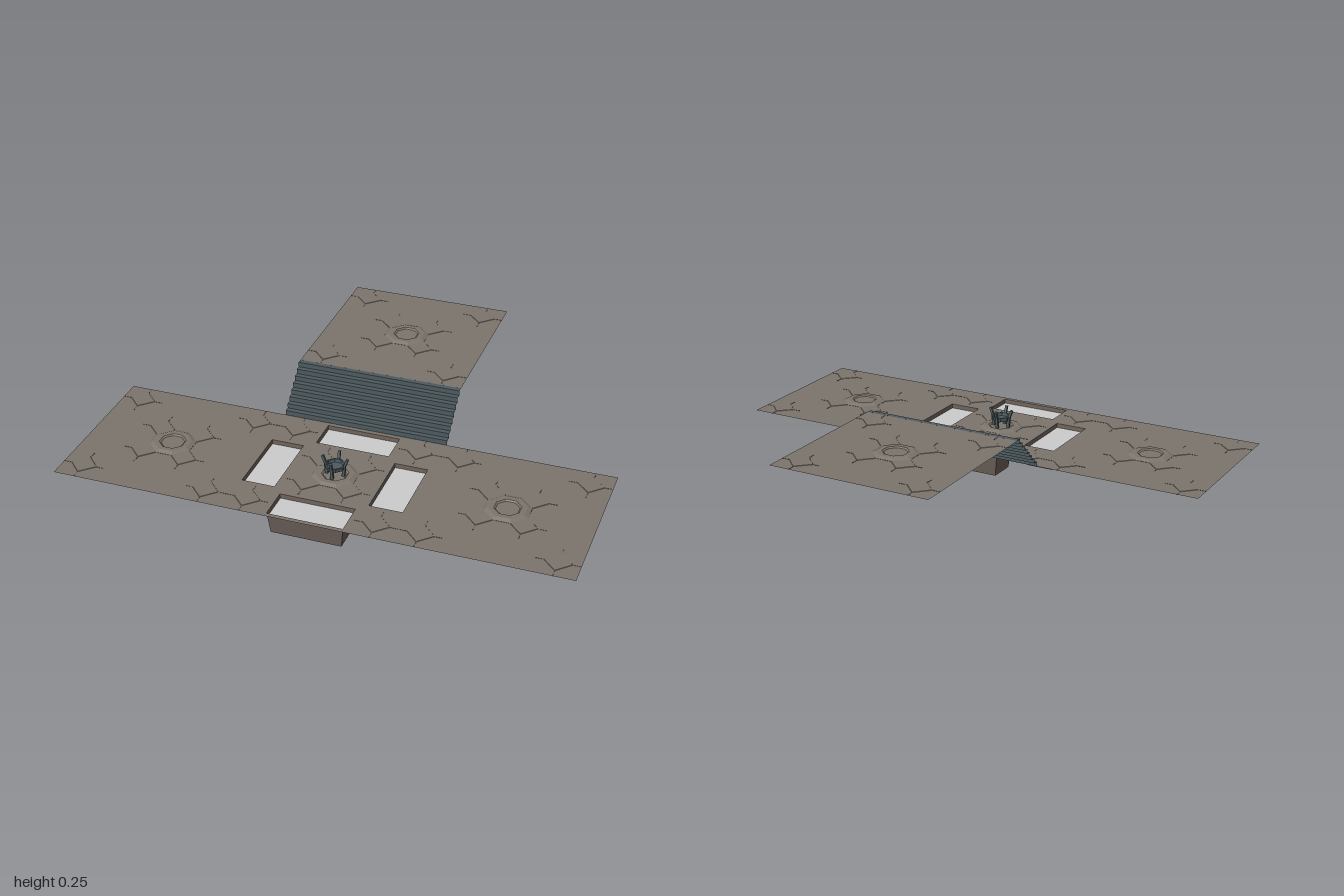
import * as THREE from 'three';

const mat = (color) => new THREE.MeshStandardMaterial({ color, side: THREE.DoubleSide, flatShading: true });
const stone = mat(0x7c756d), pitStone = mat(0x6b5f58), slate = mat(0x4e5b60), water = mat(0xcccccc);

const TILE = 2 / 3, LOW = 0.087, HIGH = 0.247, ZC = 0.417;
const RING = 0.085 / Math.cos(Math.PI / 8); // corner radius of the octagon
// pits relative to the tile centre: x, z, width, depth
const PITS = [[0, -0.25, 0.294, 0.13], [0, 0.25, 0.294, 0.13], [-0.25, 0, 0.13, 0.294], [0.25, 0, 0.13, 0.294]];

function add(parent, name, geometry, material, x = 0, y = 0, z = 0) {
  const mesh = new THREE.Mesh(geometry, material);
  mesh.name = name;
  mesh.position.set(x, y, z);
  parent.add(mesh);
  return mesh;
}

function rectPath(x, y, w, d) {
  return new THREE.Path([[-1, -1], [1, -1], [1, 1], [-1, 1]]
    .map(([a, b]) => new THREE.Vector2(x + a * w / 2, y + b * d / 2)));
}

// thin floor sheet with an octagonal hole and optional pit openings
function floorSheet(pits) {
  const shape = new THREE.Shape(rectPath(0, 0, TILE, TILE).getPoints());
  const octagon = [];
  for (let i = 0; i < 8; i++) {
    const a = (i + 0.5) * Math.PI / 4;
    octagon.push(new THREE.Vector2(RING * Math.cos(a), RING * Math.sin(a)));
  }
  shape.holes.push(new THREE.Path(octagon));
  for (const [x, z, w, d] of pits) shape.holes.push(rectPath(x, -z, w, d));
  return new THREE.ShapeGeometry(shape).rotateX(-Math.PI / 2);
}

// raised octagonal rosette filling the hole
function rosette() {
  const k = 1 / Math.cos(Math.PI / 8);
  const profile = [[0, 0.003], [0.042, 0.003], [0.048, 0.008], [0.068, 0.008], [0.085, 0]]
    .map(([r, y]) => new THREE.Vector2(r * k, y));
  return new THREE.LatheGeometry(profile, 8).rotateY(Math.PI / 8);
}

function floorTile(name, x, y, z, pits = []) {
  const tile = new THREE.Group();
  tile.name = name;
  tile.position.set(x, y, z);
  add(tile, 'floorSheet', floorSheet(pits), stone);
  add(tile, 'rosette', rosette(), stone);
  // inlaid diamonds with short seams at their tips
  for (const r of [0.0833, 0.25]) for (const sx of [-1, 1]) for (const sz of [-1, 1]) {
    add(tile, 'diamond', new THREE.CylinderGeometry(0.051, 0.055, 0.003, 4), stone, sx * r, 0, sz * r);
    for (const s of [-1, 1]) {
      add(tile, 'seam', new THREE.BoxGeometry(0.028, 0.002, 0.003), pitStone, sx * r + s * 0.069, 0, sz * r);
      add(tile, 'seam', new THREE.BoxGeometry(0.003, 0.002, 0.028), pitStone, sx * r, 0, sz * r + s * 0.069);
    }
  }
  return tile;
}

// tapered box without its top face
function pitShell(w, d, h) {
  const g = new THREE.BoxGeometry(w, h, d);
  const p = g.attributes.position;
  for (let i = 0; i < p.count; i++) {
    if (p.getY(i) > 0) continue;
    p.setX(i, p.getX(i) - Math.sign(p.getX(i)) * 0.01);
    p.setZ(i, p.getZ(i) - Math.sign(p.getZ(i)) * 0.01);
  }
  g.setIndex(Array.from(g.index.array).filter((_, i) => i < 12 || i >= 18));
  g.clearGroups();
  g.computeVertexNormals();
  return g;
}

// open zigzag of risers and treads
function stairs(count) {
  const group = new THREE.Group();
  group.name = 'stairs';
  const rise = (HIGH - LOW) / count, run = 0.167 / count;
  for (let i = 0; i < count; i++) {
    const y = LOW + i * rise, z = 0.0835 - i * run;
    add(group, 'riser', new THREE.PlaneGeometry(TILE, rise), slate, 0, y + rise / 2, z);
    add(group, 'tread', new THREE.PlaneGeometry(TILE, run).rotateX(-Math.PI / 2), slate, 0, y + rise, z - run / 2);
  }
  return group;
}

// bar of square section between two points
function bar(parent, name, a, b, r) {
  const from = new THREE.Vector3(...a), dir = new THREE.Vector3(...b).sub(from);
  const mesh = add(parent, name, new THREE.CylinderGeometry(r, r, dir.length(), 4).rotateY(Math.PI / 4), slate);
  mesh.position.copy(from).addScaledVector(dir, 0.5);
  mesh.quaternion.setFromUnitVectors(new THREE.Vector3(0, 1, 0), dir.normalize());
}

// standing fire basket
function brazier() {
  const group = new THREE.Group();
  group.name = 'brazier';
  group.position.set(0, LOW + 0.003, ZC);
  const band = [[0.031, 0.03], [0.037, 0.03], [0.04, 0.046], [0.034, 0.046], [0.031, 0.03]]
    .map(([r, y]) => new THREE.Vector2(r, y));
  add(group, 'basketRing', new THREE.LatheGeometry(band, 8).rotateY(Math.PI / 8), slate);
  add(group, 'basketFloor', new THREE.CylinderGeometry(0.033, 0.033, 0.003, 8).rotateY(Math.PI / 8), slate, 0, 0.032, 0);
  for (let i = 0; i < 4; i++) {
    const prong = new THREE.Group();
    prong.name = 'leg';
    prong.rotation.y = i * Math.PI / 2;
    bar(prong, 'lowerLeg', [0.033, 0, 0], [0.037, 0.046, 0], 0.008);
    bar(prong, 'prong', [0.037, 0.04, 0], [0.049, 0.074, 0], 0.007);
    group.add(prong);
  }
  return group;
}

export function createModel() {
  const model = new THREE.Group();
  model.name = 'platform';
  model.add(
    floorTile('leftFloor', TILE, LOW, ZC),
    floorTile('rightFloor', -TILE, LOW, ZC),
    floorTile('centreFloor', 0, LOW, ZC, PITS),
    floorTile('upperFloor', 0, HIGH, -ZC),
    stairs(8),
    brazier(),
  );
  // sunken basins around the brazier
  for (const [x, z, w, d] of PITS) {
    add(model, 'basin', pitShell(w, d, LOW), pitStone, x, LOW / 2, ZC + z);
    add(model, 'water', new THREE.PlaneGeometry(w - 0.004, d - 0.004).rotateX(-Math.PI / 2), water, x, 0.07, ZC + z);
  }
  return model;
}
